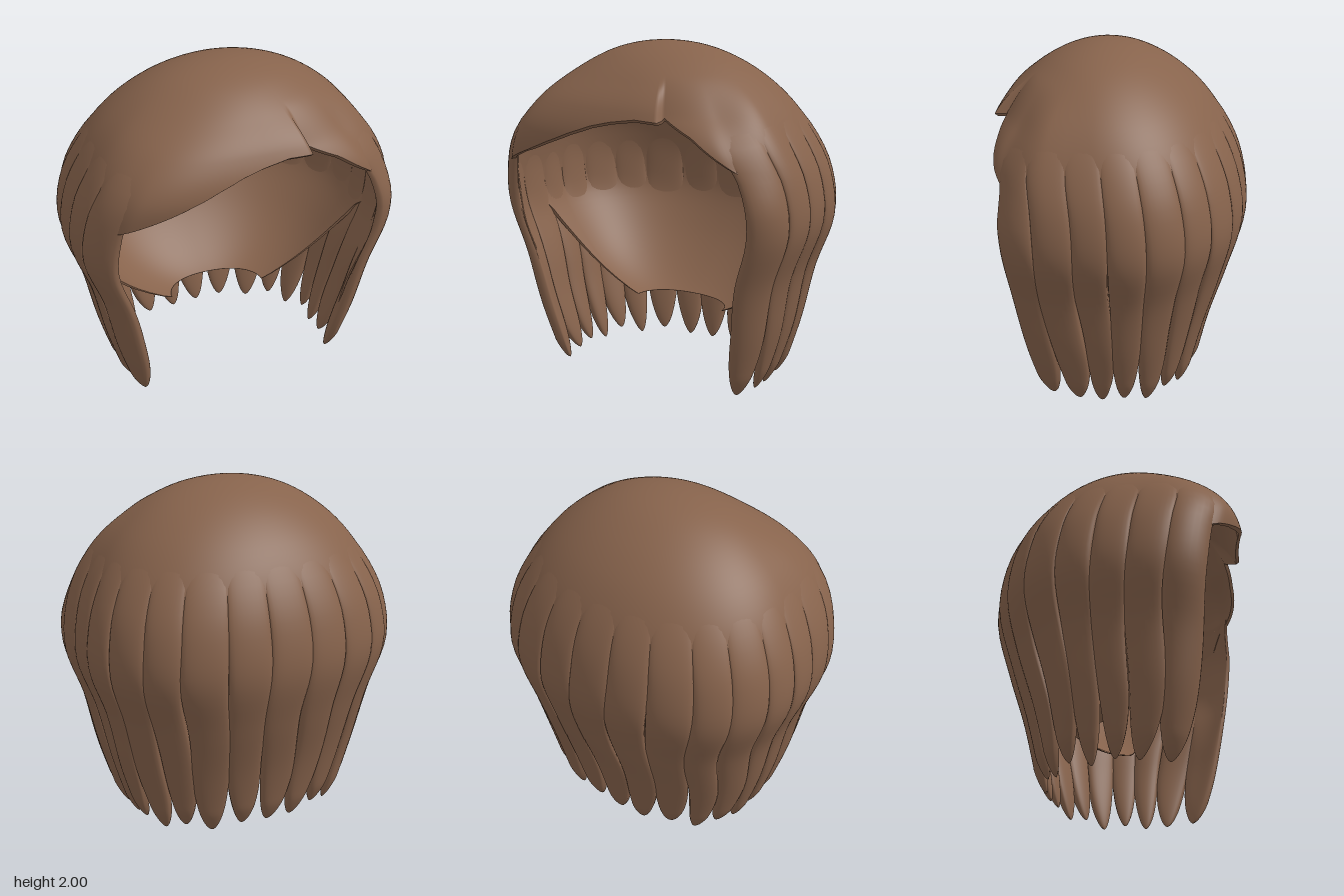
import * as THREE from 'three';
import { mergeVertices } from 'three/addons/utils/BufferGeometryUtils.js';

// Head profile at heights y = 2 - 2v^2, for v = 0, 0.1 ... 1
const HALF_WIDTH = [0, .205, .395, .565, .72, .85, .94, .96, .86, .785, .67];
const FRONT_Z = [.1, .25, .4, .54, .675, .745, .715, .69, .65, .59, .51];
const BACK_Z = [.1, -.06, -.21, -.36, -.5, -.625, -.71, -.74, -.665, -.56, -.475];
const CENTRE_Z = [.1, .1, .1, .09, .08, .05, .02, 0, 0, 0, 0];

// Lower edge of the cap: [angle from the front, height]; the jump is the parting of the fringe
const RIM = [[-3.15, .38], [-1.62, .38], [-1.36, .9], [-1.1, 1.05], [-.95, 1.2], [-.85, 1.28],
  [-.785, 1.31], [-.6, 1.4], [-.45, 1.475], [-.3, 1.54], [-.15, 1.59], [0, 1.62], [.2, 1.645], [.38, 1.64],
  [.41, 1.7], [.6, 1.6], [.75, 1.45], [.85, 1.34], [.95, 1.2], [1.1, 1.05], [1.36, .9], [1.62, .38], [3.15, .38]];

// Borders between locks, as angles from the middle of the back
const BORDERS = [.137, .40, .68, .93, 1.22, 1.5, 1.78, 2.07, 2.36];

const ramp = (x, from, to) => {
  const t = Math.min(1, Math.max(0, (x - from) / (to - from)));
  return t * t * (3 - 2 * t);
};

// Smooth interpolation in an evenly spaced table
function sample(table, v) {
  const f = Math.min(.99999, Math.max(0, v)) * (table.length - 1);
  const i = Math.floor(f), t = f - i, n = table.length - 1;
  const b = table[i], c = table[i + 1];
  const a = i > 0 ? table[i - 1] : 2 * b - c;
  const d = i + 2 <= n ? table[i + 2] : 2 * c - b;
  return b + .5 * t * (c - a + t * (2 * a - 5 * b + 4 * c - d + t * (3 * (b - c) + d - a)));
}

function rimHeight(a) {
  const k = Math.max(1, RIM.findIndex(p => p[0] >= a));
  const [a0, y0] = RIM[k - 1], [a1, y1] = RIM[k];
  return y0 + (y1 - y0) * (a - a0) / (a1 - a0);
}

// Point on the head form at angle a and height y, moved outwards by off
function headPoint(a, y, off) {
  const v = Math.sqrt(Math.max(0, 2 - y) / 2);
  const s = Math.sin(a), c = Math.cos(a);
  // Round at the crown, squarer at the front lower down
  const n = 2 + ramp(v, .2, .6) * (.2 + 1.8 * ramp(c, -.1, .4));
  const r = Math.pow(Math.abs(s) ** n + Math.abs(c) ** n, -1 / n);
  const mid = sample(CENTRE_Z, v);
  const depth = c > 0 ? sample(FRONT_Z, v) - mid : mid - sample(BACK_Z, v);
  const k = Math.min(1, v / .55), up = Math.sqrt(1 - k * k);
  // The left front lies lower than the fringe beside it
  const parting = a > .395 ? .055 * ramp(y, 1.86, 1.68) * ramp(y, 1.15, 1.45) * ramp(a, 1.2, .8) : 0;
  const out = off - parting;
  return new THREE.Vector3(
    sample(HALF_WIDTH, v) * r * s + out * k * s,
    y + out * up,
    mid + depth * r * c + out * k * c);
}

// Depth of the cap under the locks
const capInset = y => .035 * ramp(y, 1.75, 1.2);

// Skin through closed rings, from top to bottom
function loft(rings) {
  const n = rings[0].length, index = [];
  for (let i = 0; i + 1 < rings.length; i++) {
    for (let j = 0; j < n; j++) {
      const k = (j + 1) % n;
      const p = i * n + j, q = i * n + k;
      index.push(p, p + n, q + n, p, q + n, q);
    }
  }
  const geometry = new THREE.BufferGeometry().setFromPoints(rings.flat());
  geometry.setIndex(index);
  const merged = mergeVertices(geometry, 1e-5);
  merged.computeVertexNormals();
  return merged;
}

// Cap with swept fringe: outer side down to the rim, then the lining back up.
// Below y = 1 it curves inwards like a bowl, away from the locks.
function capGeometry() {
  const columns = 260, rows = 54, rings = [];
  const ring = (t, depth) => Array.from({ length: columns }, (_, j) => {
    const a = -Math.PI + (j + .5) / columns * 2 * Math.PI;
    const y = 2 - (2 - rimHeight(a)) * (1 - Math.cos(Math.PI * t)) / 2;
    const inset = capInset(y) * ramp(Math.abs(a), .72, .88);
    const bowl = Math.sqrt(1 - (Math.max(0, 1 - y) / .68) ** 2);
    const p = headPoint(a, y, -inset - depth);
    return p.set(p.x * bowl, p.y, p.z * bowl);
  });
  for (let i = 0; i <= rows; i++) rings.push(ring(i / rows, 0));
  rings.push(ring(1, .008));
  for (let i = rows; i >= 0; i--) rings.push(ring(i / rows, .026));
  return loft(rings);
}

// One hanging lock, growing out of the cap and ending in a rounded tip
function lockGeometry(centre, halfAngle, tip, seed) {
  const rows = 40, around = 24, top = 1.74, rings = [];
  for (let i = 0; i <= rows; i++) {
    const y = top - (top - tip) * Math.sin(i / rows * Math.PI / 2);
    const q = Math.min(1, Math.max(0, (.44 - y) / (.44 - tip)));
    const taper = Math.pow(1 - q ** 2.5, .6);
    const loose = ramp(y, 1.5, .7);
    const sway = loose * (.02 * Math.sin(y * 5.5) + .012 * Math.sin(y * 6 + seed * 1.9));
    const outer = (.008 + .039 * ramp(y, 1.72, 1.2)) * Math.min(1, taper * 1.4);
    const inner = (.008 + .022 * Math.exp(-(((y - 1.06) / .15) ** 2)) + .03 * ramp(y, .9, .5)) * taper;
    const base = -capInset(y) - .012 - loose * .004 * (1 + Math.sin(seed * 2.3));
    rings.push(Array.from({ length: around }, (_, j) => {
      const p = j / around * 2 * Math.PI, c = Math.cos(p);
      const bulge = c > 0 ? outer * Math.sqrt(c) : inner * c;
      return headPoint(centre + sway + 1.05 * halfAngle * taper * Math.sin(p), y, base + bulge);
    }));
  }
  return loft(rings);
}

export function createModel() {
  const group = new THREE.Group();
  const brown = new THREE.MeshStandardMaterial({ color: 0x87634c, side: THREE.DoubleSide });
  brown.name = 'brownHair';

  const add = (name, geometry) => {
    const mesh = new THREE.Mesh(geometry, brown);
    mesh.name = name;
    group.add(mesh);
  };

  add('capWithFringe', capGeometry());

  // Locks around the back and both sides
  add('backLock', lockGeometry(Math.PI, BORDERS[0], .02, 0));
  for (let k = 1; k < BORDERS.length; k++) {
    const centre = (BORDERS[k] + BORDERS[k - 1]) / 2;
    const half = (BORDERS[k] - BORDERS[k - 1]) / 2;
    for (const side of [1, -1]) {
      const seed = k * side;
      const tip = .002 + .02 * (1 + Math.sin(seed * 2.7));
      add(side > 0 ? 'leftLock' + k : 'rightLock' + k,
        lockGeometry(side * (Math.PI - centre), half, tip, seed));
    }
  }
  return group;
}
